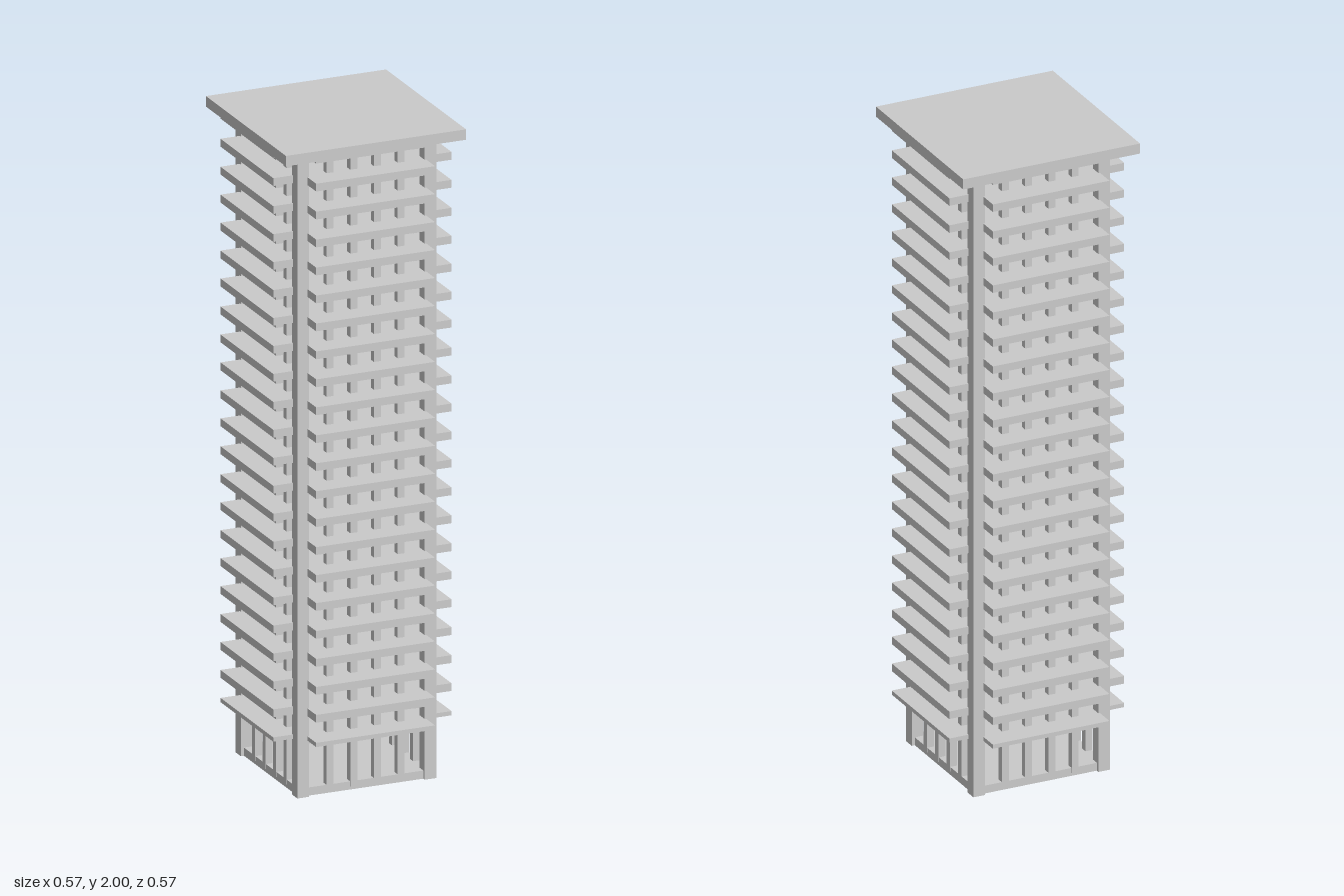
import * as THREE from 'three';

export function createModel() {
  const tower = new THREE.Group();
  tower.name = 'tower';
  const material = new THREE.MeshStandardMaterial({ color: 0xcccccc, flatShading: true });

  // Box given by its width, depth, bottom and top heights, and plan position
  function box(name, w, d, y0, y1, x = 0, z = 0, parent = tower) {
    const mesh = new THREE.Mesh(new THREE.BoxGeometry(w, y1 - y0, d), material);
    mesh.name = name;
    mesh.position.set(x, (y0 + y1) / 2, z);
    parent.add(mesh);
    return mesh;
  }

  // Ground plate, ground-floor ceiling and overhanging flat roof
  box('groundPlate', 0.42, 0.42, 0, 0.025);
  box('groundCeiling', 0.40, 0.40, 0.155, 0.18);
  box('roof', 0.57, 0.57, 1.968, 2);

  // Square corner posts
  for (const x of [-1, 1]) {
    for (const z of [-1, 1]) box('cornerPost', 0.037, 0.037, 0, 1.975, x * 0.2015, z * 0.2015);
  }

  // Cross-shaped floor plate with a balcony on each side, notched at the posts
  const arm = 0.282, half = 0.188;
  const plan = new THREE.Shape([
    [-half, -arm], [half, -arm], [half, -half], [arm, -half],
    [arm, half], [half, half], [half, arm], [-half, arm],
    [-half, half], [-arm, half], [-arm, -half], [-half, -half],
  ].map(([x, y]) => new THREE.Vector2(x, y)));

  const floors = new THREE.Group();
  floors.name = 'floors';
  tower.add(floors);
  const pitch = 0.0857;
  for (let i = 0; i < 22; i++) {
    const thick = i === 0 ? 0.013 : 0.024;
    const top = 0.186 + i * pitch;
    const geometry = new THREE.ExtrudeGeometry(plan, { depth: thick, bevelEnabled: false });
    geometry.rotateX(-Math.PI / 2);
    const floor = new THREE.Mesh(geometry, material);
    floor.name = 'floorPlate';
    floor.position.y = top - thick;
    floors.add(floor);
  }

  // Four slim full-height columns on each facade
  for (let side = 0; side < 4; side++) {
    const facade = new THREE.Group();
    facade.name = 'facadeColumns';
    facade.rotation.y = side * Math.PI / 2;
    for (const x of [-0.1125, -0.0375, 0.0375, 0.1125]) {
      box('column', 0.022, 0.022, 0.01, 1.97, x, 0.2, facade);
    }
    tower.add(facade);
  }

  return tower;
}
